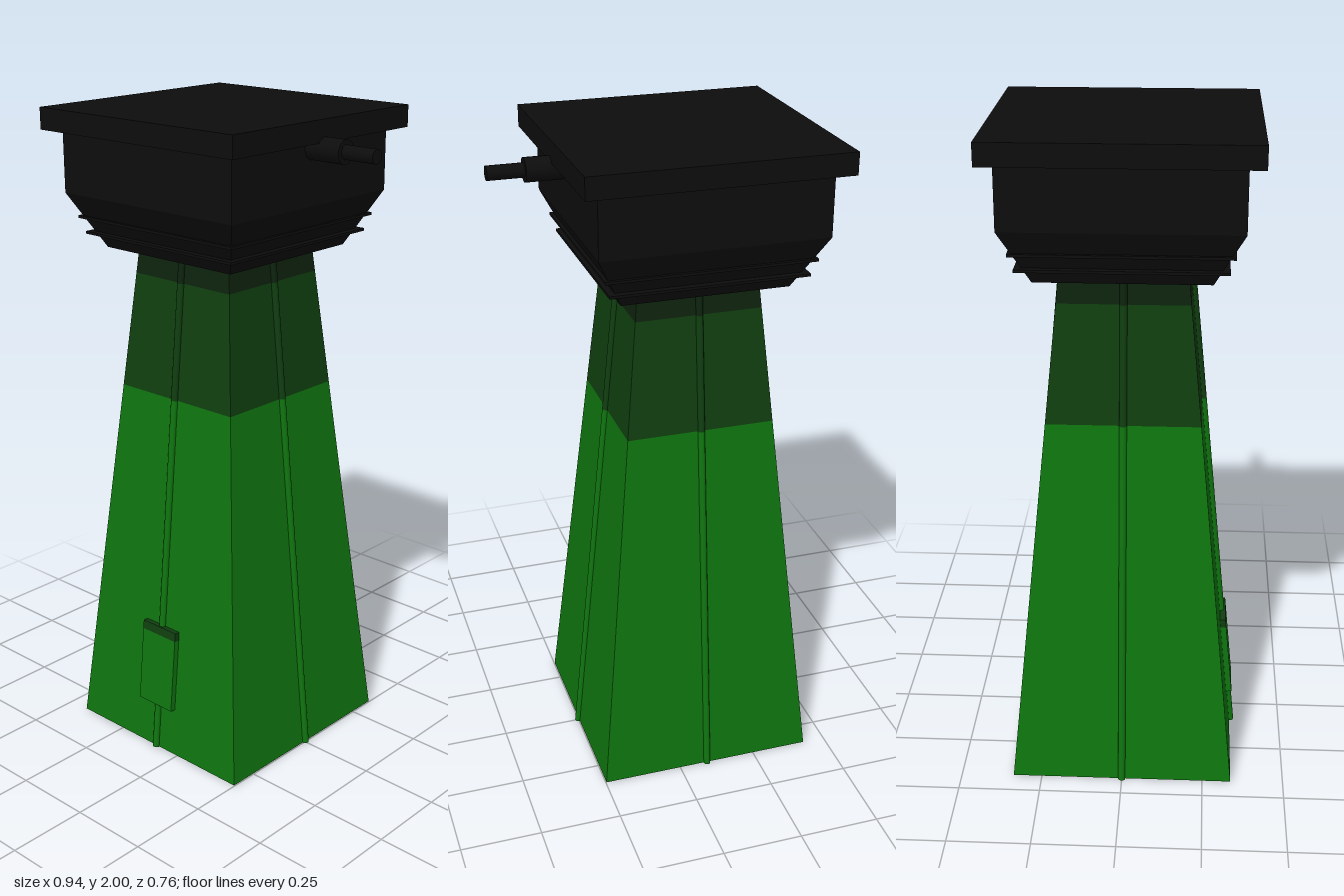
import * as THREE from 'three';

const green = new THREE.MeshStandardMaterial({ color: 0x0f760f, side: THREE.DoubleSide });
const darkGreen = new THREE.MeshStandardMaterial({ color: 0x103f10, side: THREE.DoubleSide });
const deepGreen = new THREE.MeshStandardMaterial({ color: 0x0e230e, side: THREE.DoubleSide });
const black = new THREE.MeshStandardMaterial({ color: 0x0d0d0d });

const TOP = 1.59, BASE_HALF = 0.338, TOP_HALF = 0.183;
const halfAt = (y) => BASE_HALF + (TOP_HALF - BASE_HALF) * (y / TOP);
const LEAN = Math.atan((BASE_HALF - TOP_HALF) / TOP);

function add(parent, name, geometry, material) {
  const mesh = new THREE.Mesh(geometry, material);
  mesh.name = name;
  parent.add(mesh);
  return mesh;
}

// Square frustum from y0 to y1, with crisp edges
function frustum(half0, half1, y0, y1, open = false) {
  const g = new THREE.CylinderGeometry(half1 * Math.SQRT2, half0 * Math.SQRT2, y1 - y0, 4, 1, open)
    .rotateY(Math.PI / 4).translate(0, (y0 + y1) / 2, 0).toNonIndexed();
  g.computeVertexNormals();
  return g;
}

// Moves a part onto the sloping front face at height y
function onFace(mesh, y, offset) {
  mesh.position.set(0, y, halfAt(y) + offset);
  mesh.rotation.x = -LEAN;
  return mesh;
}

export function createModel() {
  const model = new THREE.Group();
  model.name = 'tower';
  const body = new THREE.Group();
  body.name = 'body';
  body.position.x = -0.09;
  model.add(body);

  // Hollow tapering shaft in three bands, with a rod up each side
  const bands = [
    ['lower', 0, 1.15, green],
    ['upper', 1.15, 1.505, darkGreen],
    ['neck', 1.505, TOP, deepGreen],
  ];
  for (const [name, y0, y1, material] of bands) {
    add(body, name + 'Shaft', frustum(halfAt(y0), halfAt(y1), y0, y1, true), material);
    for (let i = 0; i < 4; i++) {
      const side = new THREE.Group();
      side.name = name + 'RodSide';
      side.rotation.y = i * Math.PI / 2;
      body.add(side);
      const length = (y1 - y0) / Math.cos(LEAN);
      onFace(add(side, name + 'Rod', new THREE.CylinderGeometry(0.011, 0.011, length, 8), material), (y0 + y1) / 2, 0.003);
    }
  }

  // Small hatch with a dark top strip
  onFace(add(body, 'hatch', new THREE.BoxGeometry(0.14, 0.24, 0.03), green), 0.272, 0.003);
  onFace(add(body, 'hatchStrip', new THREE.BoxGeometry(0.14, 0.028, 0.03), darkGreen), 0.405, 0.003);

  // Head: flared underside, square box and overhanging lid
  add(body, 'headFlare', frustum(0.25, 0.335, 1.585, 1.75), black);
  add(body, 'headBox', frustum(0.335, 0.335, 1.75, 1.935), black);
  add(body, 'lid', frustum(0.38, 0.38, 1.935, 2), black);
  for (const [y, half] of [[1.63, 0.295], [1.678, 0.31]]) {
    add(body, 'fin', frustum(half, half, y - 0.004, y + 0.004), black);
  }

  // Stepped barrel on the left side of the head
  for (const [name, x0, x1, r] of [['barrelSleeve', 0.22, 0.363, 0.035], ['barrel', 0.36, 0.47, 0.021]]) {
    const g = new THREE.CylinderGeometry(r, r, x1 - x0, 16).rotateZ(Math.PI / 2);
    add(model, name, g, black).position.set((x0 + x1) / 2, 1.916, 0);
  }
  return model;
}
